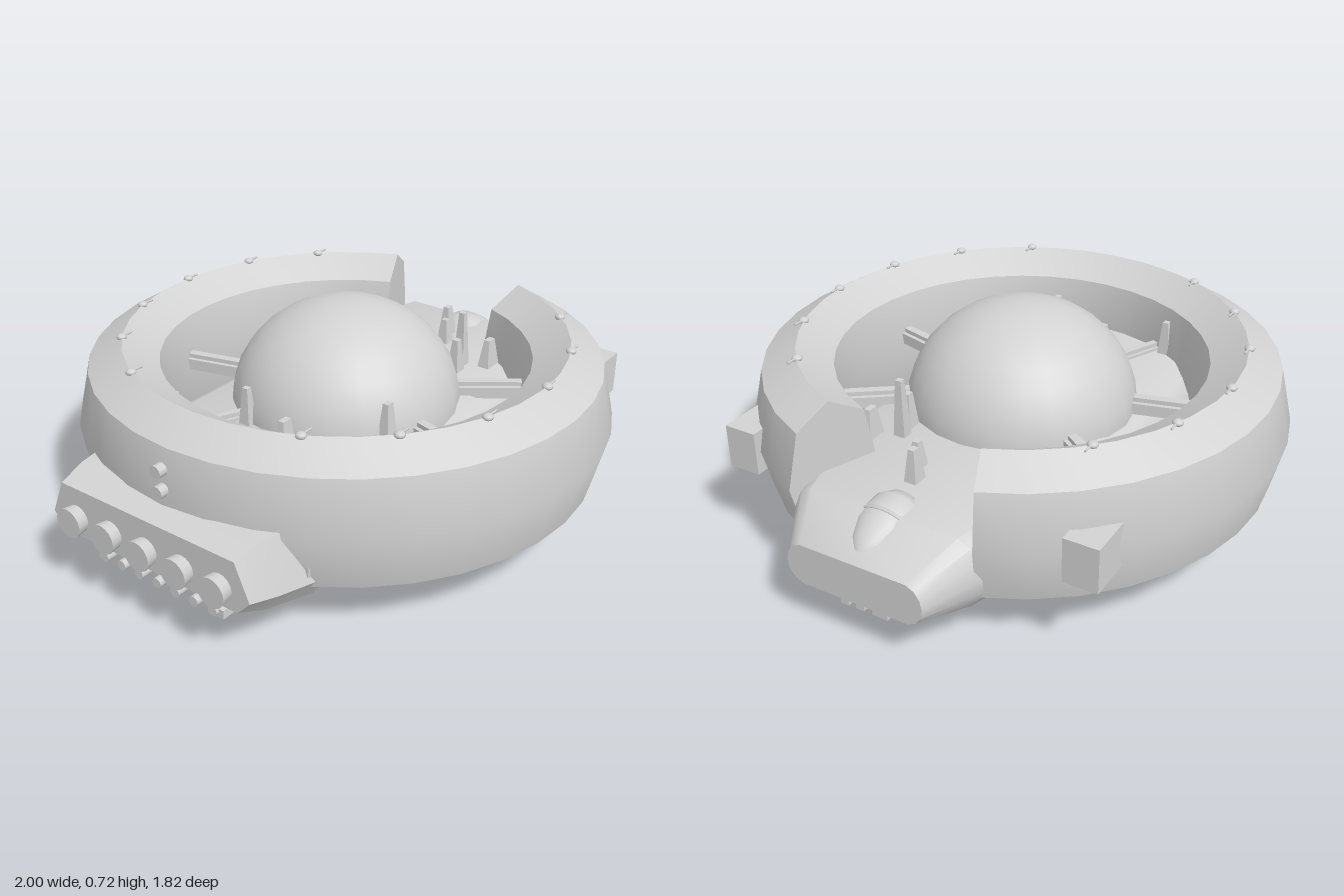
import * as THREE from 'three';
import { toCreasedNormals } from 'three/addons/utils/BufferGeometryUtils.js';

const CX = 0.02; // centre of the ring and dome
const rad = THREE.MathUtils.degToRad;

// Closed, capped body along x from matching outlines
function loft(sections) {
  const pos = [], idx = [], n = sections[0].length;
  sections.forEach(s => s.forEach(p => pos.push(...p)));
  for (let i = 0; i < sections.length - 1; i++) {
    for (let j = 0; j < n; j++) {
      const a = i * n + j, b = i * n + (j + 1) % n;
      idx.push(a, b, a + n, b, b + n, a + n);
    }
  }
  const last = (sections.length - 1) * n;
  for (let j = 1; j < n - 1; j++) {
    idx.push(0, j + 1, j, last, last + j, last + j + 1);
  }
  const g = new THREE.BufferGeometry();
  g.setAttribute('position', new THREE.Float32BufferAttribute(pos, 3));
  g.setIndex(idx);
  return toCreasedNormals(g, 0.6);
}

// Half outlines as (fraction of width, fraction of height), top to bottom
const roundedFlank = [[0.78, 1], [0.9, 0.9], [0.97, 0.72], [1, 0.5], [0.98, 0.3], [0.9, 0.1], [0.78, 0]];
const angularFlank = [[0.87, 1], [1, 0.3], [0.88, 0]];

// Mirrored cross-section at x
function section(half, [x, w, bottom, top]) {
  const y = t => bottom + t * (top - bottom);
  return [
    ...half.map(([u, t]) => [x, y(t), u * w]),
    ...half.slice().reverse().map(([u, t]) => [x, y(t), -u * w]),
  ];
}

export function createModel() {
  const root = new THREE.Group();
  const hullGrey = new THREE.MeshStandardMaterial({ color: 0xd2d2d2, side: THREE.DoubleSide });
  hullGrey.name = 'hullGrey';

  function add(name, geo, x = 0, y = 0, z = 0, parent = root) {
    const m = new THREE.Mesh(geo, hullGrey);
    m.name = name;
    m.position.set(x, y, z);
    parent.add(m);
    return m;
  }
  const box = (name, x0, x1, y0, y1, z, depth) =>
    add(name, new THREE.BoxGeometry(x1 - x0, y1 - y0, depth), (x0 + x1) / 2, (y0 + y1) / 2, z);

  // Broken ring with an octagonal cross-section, open toward the nose
  const profile = [[0.75, 0.1], [0.865, 0.18], [0.908, 0.36], [0.865, 0.545],
    [0.75, 0.615], [0.63, 0.545], [0.595, 0.36], [0.63, 0.18]].map(p => new THREE.Vector2(...p));
  const gap = 21;
  add('ring', toCreasedNormals(new THREE.LatheGeometry([...profile, profile[0]], 32,
    rad(90 + gap), rad(360 - 2 * gap)), 0.6), CX);
  for (const s of [-1, 1]) {
    add('ringEnd', new THREE.ShapeGeometry(new THREE.Shape(profile)), CX).rotation.y = s * rad(gap);
  }

  // Central hull with a blunt nose, and the angular engine block behind it
  add('hull', loft([
    [-0.75, 0.44, 0.12, 0.38], [-0.5, 0.465, 0.11, 0.38], [0.4, 0.465, 0.11, 0.38],
    [0.84, 0.335, 0.13, 0.38], [1, 0.24, 0.155, 0.295],
  ].map(s => section(roundedFlank, s))));
  add('engineBlock', loft([
    [-0.96, 0.4, 0.19, 0.36], [-0.86, 0.42, 0.15, 0.38], [-0.68, 0.455, 0.115, 0.38],
  ].map(s => section(angularFlank, s))));

  // Central dome
  const dome = add('dome', new THREE.SphereGeometry(0.395, 24, 16), CX, 0.36, 0);
  dome.scale.y = 0.91;

  // Spokes between dome and ring
  for (const [deg, w, y] of [[54, 0.06, 0.39], [105, 0.06, 0.39], [155, 0.045, 0.37]]) {
    for (const s of [-1, 1]) {
      const spoke = new THREE.Group();
      spoke.name = 'spoke';
      spoke.position.x = CX;
      spoke.rotation.y = s * rad(deg);
      root.add(spoke);
      add('spokeBeam', new THREE.BoxGeometry(0.27, 0.04, w), 0.49, y, 0, spoke);
      add('spokeRidge', new THREE.BoxGeometry(0.27, 0.02, w * 0.5), 0.49, y + 0.025, 0, spoke);
    }
  }
  box('rearSpoke', -0.5, -0.36, 0.37, 0.39, 0, 0.016);

  // Tapered towers on the deck
  const towers = [[-0.47, 0.13, 0.075, 0.14], [-0.51, -0.3, 0.045, 0.12], [-0.36, -0.12, 0.04, 0.13],
    [0.58, 0.05, 0.045, 0.09], [0.65, 0.015, 0.055, 0.11], [0.39, 0.215, 0.05, 0.12],
    [0.45, 0.2, 0.04, 0.2], [0.5, 0.285, 0.075, 0.1], [-0.19, 0.32, 0.055, 0.14]];
  for (const [x, z, w, h] of towers) {
    const g = new THREE.CylinderGeometry(0.35, 0.707, 1, 4).rotateY(Math.PI / 4).toNonIndexed();
    g.computeVertexNormals();
    add('deckTower', g, x, 0.38 + h / 2, z).scale.set(w, h, 0.043);
  }

  // Cockpit canopy, blunt behind, pointed and dipping in front
  const cockpit = new THREE.Group();
  cockpit.name = 'cockpit';
  cockpit.position.set(0.825, 0.335, 0);
  cockpit.rotation.z = -0.24;
  cockpit.scale.y = 0.72;
  root.add(cockpit);
  const canopy = [[0, -0.11], [0.05, -0.1], [0.08, -0.065], [0.09, -0.01], [0.082, 0.04],
    [0.055, 0.1], [0.025, 0.135], [0, 0.148]].map(p => new THREE.Vector2(...p));
  add('canopy', new THREE.LatheGeometry(canopy, 20).rotateZ(-Math.PI / 2), 0, 0, 0, cockpit);
  add('canopyRib', new THREE.TorusGeometry(0.088, 0.006, 6, 20).rotateY(Math.PI / 2), 0.005, 0, 0, cockpit);

  // Docking blocks on the front quarters of the ring
  for (const s of [-1, 1]) box('dockingBlock', 0.61, 0.76, 0.285, 0.435, s * 0.608, 0.115);

  // Main engines and the row of small thrusters beneath them
  for (let i = -2; i <= 2; i++) {
    add('engine', new THREE.CylinderGeometry(0.05, 0.042, 0.06, 16).rotateZ(Math.PI / 2), -0.97, 0.255, i * 0.145);
  }
  for (let i = 0; i < 7; i++) {
    add('thruster', new THREE.CylinderGeometry(0.018, 0.018, 0.08, 10).rotateZ(Math.PI / 2), -0.89, 0.12, (i - 3) * 0.075);
  }

  // Small gun turrets along the ring crest
  function turret(x, z) {
    add('turret', new THREE.SphereGeometry(0.018, 10, 6), x, 0.615, z).scale.y = 0.65;
    add('turretBarrel', new THREE.CylinderGeometry(0.004, 0.004, 0.045, 6).rotateZ(Math.PI / 2), x + 0.025, 0.617, z);
  }
  for (const [x, z] of [[0.545, 0.53], [0.315, 0.69], [0.04, 0.75], [-0.24, 0.705], [-0.48, 0.56], [-0.65, 0.34]]) {
    for (const s of [-1, 1]) turret(x, s * z);
  }
  // Sensor pods on the back of the ring
  for (const y of [0.42, 0.49]) {
    add('sensorPod', new THREE.CylinderGeometry(0.022, 0.022, 0.03, 10).rotateZ(Math.PI / 2), -0.885, y, 0);
  }

  // Belly panel behind the dome, with side rails
  box('bellyPanel', -0.84, -0.15, 0.075, 0.13, 0, 0.4);
  box('bellyCollar', -0.31, 0.1, 0.05, 0.12, 0, 0.3);
  for (const s of [-1, 1]) {
    box('bellyRail', -0.92, -0.2, 0.1, 0.13, s * 0.245, 0.03);
    box('bellyRail', -0.85, -0.1, 0.06, 0.1, s * 0.21, 0.02);
  }
  // Stepped keel spars reaching toward the nose
  for (const [end, y0, z] of [[0.94, 0.075, 0.03], [0.96, 0.095, 0.07], [0.82, 0.1, 0.11]]) {
    for (const s of [-1, 1]) box('keelSpar', 0.15, end, y0, 0.135, s * z, 0.03);
  }
  for (const [end, y0, y1, depth] of [[0.72, 0.055, 0.125, 0.12], [0.4, 0.035, 0.1, 0.08], [0.28, 0.02, 0.08, 0.05]]) {
    box('keelPlate', 0.1, end, y0, y1, 0, depth);
  }

  return root;
}
